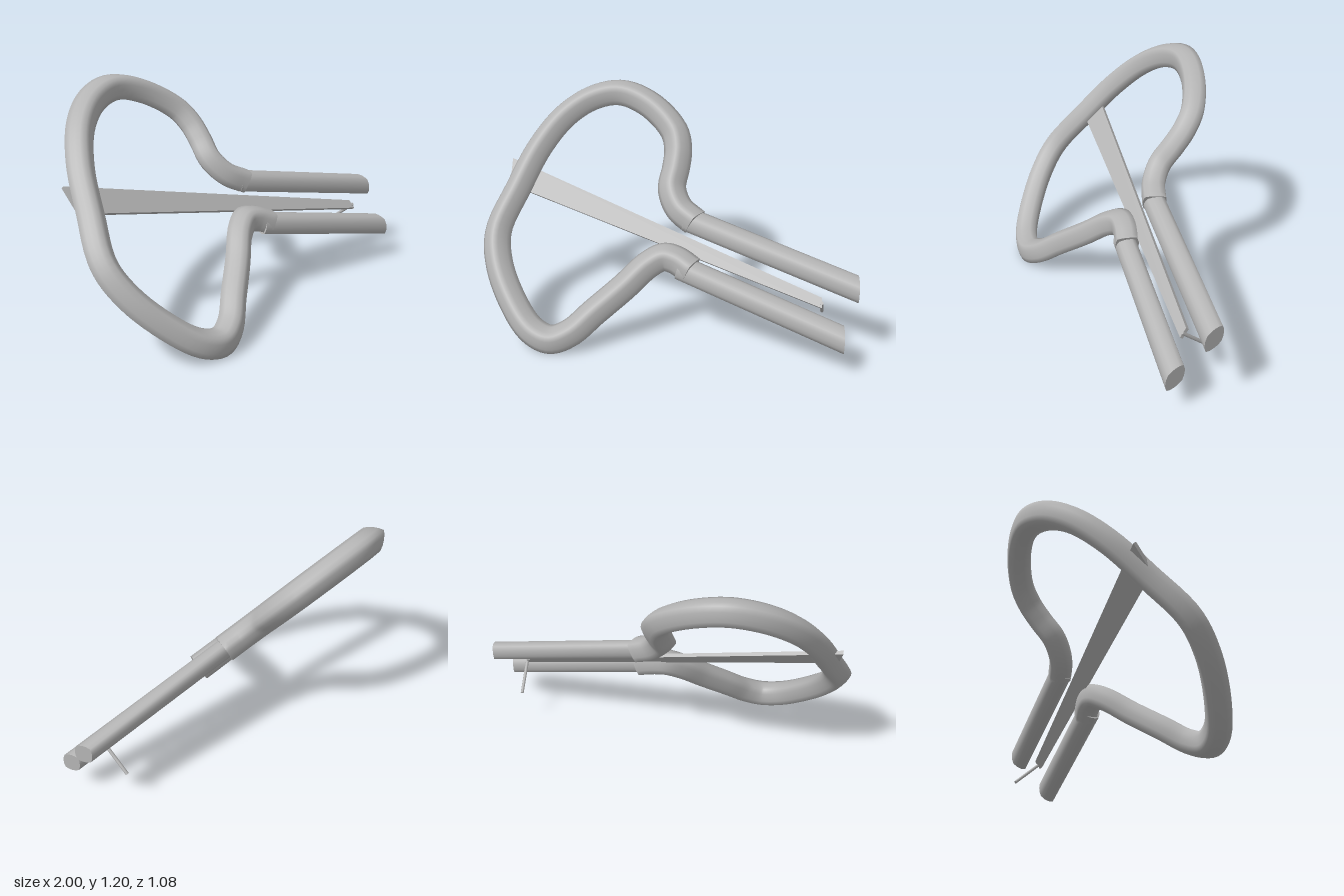
import * as THREE from 'three';
import { ConvexGeometry } from 'three/addons/geometries/ConvexGeometry.js';

// The instrument lies in one tilted plane: z = 0.542 + 0.125x - 0.868y
const NORMAL = new THREE.Vector3(-0.125, 0.868, 1).normalize();
const onPlane = (x, y, lift = 0) =>
  new THREE.Vector3(x, y, 0.542 + 0.125 * x - 0.868 * y).addScaledVector(NORMAL, lift);

// Sweeps a rounded diamond along a path in the plane; cutX trims the far end square to x
function sweep(path, segments, halfWidth, halfDepth, power, cutX) {
  const curve = new THREE.CatmullRomCurve3(path.map(([x, y]) => onPlane(x, y)));
  const sides = 16, positions = [], index = [];
  const sections = [];
  for (let i = 0; i <= segments; i++) {
    const centre = curve.getPoint(i / segments);
    const t = curve.getTangent(i / segments);
    const across = NORMAL.clone().cross(t).normalize();
    const section = [];
    for (let j = 0; j < sides; j++) {
      const a = (j / sides) * Math.PI * 2, c = Math.cos(a), s = Math.sin(a);
      const r = Math.pow(Math.abs(c) ** power + Math.abs(s) ** power, -1 / power);
      const p = centre.clone()
        .addScaledVector(across, c * r * halfWidth)
        .addScaledVector(NORMAL, s * r * halfDepth);
      if (cutX !== undefined && i === segments) p.addScaledVector(t, (cutX - p.x) / t.x);
      section.push(p);
      positions.push(p.x, p.y, p.z);
    }
    sections.push(section);
  }
  for (let i = 0; i < segments; i++) {
    for (let j = 0; j < sides; j++) {
      const k = (j + 1) % sides;
      const a = i * sides + j, b = i * sides + k;
      index.push(a, b, a + sides, b, b + sides, a + sides);
    }
  }
  // end caps with their own vertices, so their rims stay sharp
  [sections[0], sections[segments]].forEach((section, end) => {
    const base = positions.length / 3;
    section.forEach((p) => positions.push(p.x, p.y, p.z));
    for (let j = 1; j < sides - 1; j++) {
      if (end) index.push(base, base + j, base + j + 1);
      else index.push(base, base + j + 1, base + j);
    }
  });
  const geometry = new THREE.BufferGeometry();
  geometry.setAttribute('position', new THREE.Float32BufferAttribute(positions, 3));
  geometry.setIndex(index);
  geometry.computeVertexNormals();
  return geometry;
}

export function createModel() {
  const group = new THREE.Group();
  const steel = new THREE.MeshStandardMaterial({ color: 0xb4b4b4 });
  steel.name = 'grey steel';
  const add = (name, geometry) => {
    const mesh = new THREE.Mesh(geometry, steel);
    mesh.name = name;
    group.add(mesh);
    return mesh;
  };

  // Bent frame loop
  add('frameLoop', sweep([
    [0.155, 0.598], [0.065, 0.65], [0.02, 0.73], [0.035, 0.82], [0.04, 0.9], [0.01, 0.98],
    [-0.13, 1.085], [-0.3, 1.132], [-0.46, 1.1], [-0.61, 1.01], [-0.74, 0.86], [-0.84, 0.67],
    [-0.925, 0.48], [-0.9, 0.345], [-0.8, 0.195], [-0.68, 0.09], [-0.57, 0.062], [-0.465, 0.1],
    [-0.35, 0.19], [-0.2, 0.305], [-0.08, 0.405], [0, 0.443], [0.07, 0.435], [0.15, 0.4],
  ], 120, 0.077, 0.075, 1.25));

  // Straight parallel bars
  add('upperBar', sweep([[0.11, 0.608], [1, 0.398]], 1, 0.066, 0.053, 1.5, 1));
  add('lowerBar', sweep([[0.09, 0.408], [0.93, 0.2]], 1, 0.066, 0.053, 1.5, 0.93));

  // Tapered reed, piercing the loop
  const outline = [[-0.89, 0.8], [-0.89, 0.685], [0.82, 0.31], [0.82, 0.35]];
  add('reed', new ConvexGeometry(
    outline.flatMap(([x, y]) => [onPlane(x, y, -0.02), onPlane(x, y, 0)])));

  // Thin trigger pin, bent away behind the tip of the reed
  const pin = add('triggerPin', new THREE.CylinderGeometry(0.009, 0.009, 0.22, 8));
  pin.position.copy(onPlane(0.82, 0.328, -0.105));
  pin.quaternion.setFromUnitVectors(new THREE.Vector3(0, 1, 0), NORMAL);

  return group;
}
